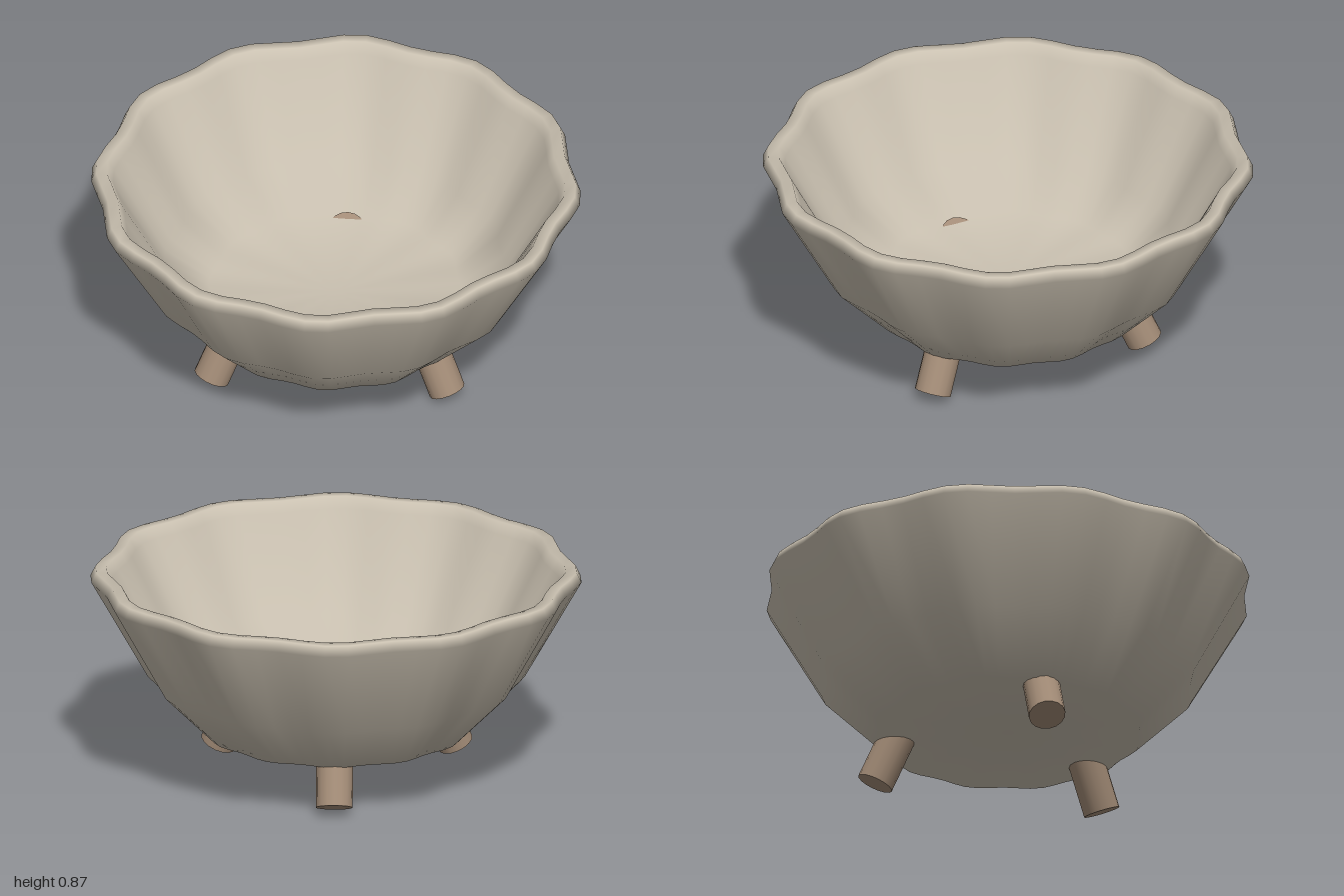
import * as THREE from 'three';
import { mergeVertices } from 'three/addons/utils/BufferGeometryUtils.js';

const LOBES = 12;

// Turned profile with a gentle scalloped ripple around the axis
function rippledLathe(profile, segments) {
  const points = profile.map(([r, y]) => new THREE.Vector2(r, y));
  const lathe = new THREE.LatheGeometry(points, segments);
  const pos = lathe.attributes.position;
  for (let i = 0; i < pos.count; i++) {
    const x = pos.getX(i), z = pos.getZ(i);
    const k = 0.98 + 0.02 * Math.cos(LOBES * Math.atan2(z, x));
    pos.setX(i, x * k);
    pos.setZ(i, z * k);
  }
  lathe.deleteAttribute('uv');
  lathe.deleteAttribute('normal');
  const geometry = mergeVertices(lathe, 1e-5);
  geometry.computeVertexNormals();
  return geometry;
}

export function createModel() {
  const model = new THREE.Group();
  model.name = 'footedBowl';

  const clay = new THREE.MeshStandardMaterial({ color: 0xc9c0b0 });
  clay.name = 'paleClay';
  const wood = new THREE.MeshStandardMaterial({ color: 0xa38c77 });
  wood.name = 'brownFeet';

  // Bowl: underside, outer wall, rounded rim, inner wall, floor
  const bowl = new THREE.Mesh(rippledLathe([
    [0, 0.2], [0.55, 0.2], [0.77, 0.42], [1, 0.825], [0.98, 0.866],
    [0.935, 0.866], [0.91, 0.82], [0.7, 0.44], [0.52, 0.31], [0, 0.29],
  ], 64), clay);
  bowl.name = 'bowl';
  model.add(bowl);

  // Three splayed feet, their tops just breaking through the bowl floor
  const length = 0.285, radius = 0.075, tilt = 0.44;
  const legGeometry = new THREE.CylinderGeometry(radius, radius, length, 16);
  legGeometry.translate(0, length / 2, 0);
  for (let i = 0; i < 3; i++) {
    const pivot = new THREE.Group();
    pivot.name = 'foot' + (i + 1);
    pivot.rotation.y = (i * Math.PI * 2) / 3;
    const leg = new THREE.Mesh(legGeometry, wood);
    leg.name = 'leg';
    leg.position.set(0.555, radius * Math.sin(tilt), 0);
    leg.rotation.z = tilt;
    pivot.add(leg);
    model.add(pivot);
  }
  return model;
}
